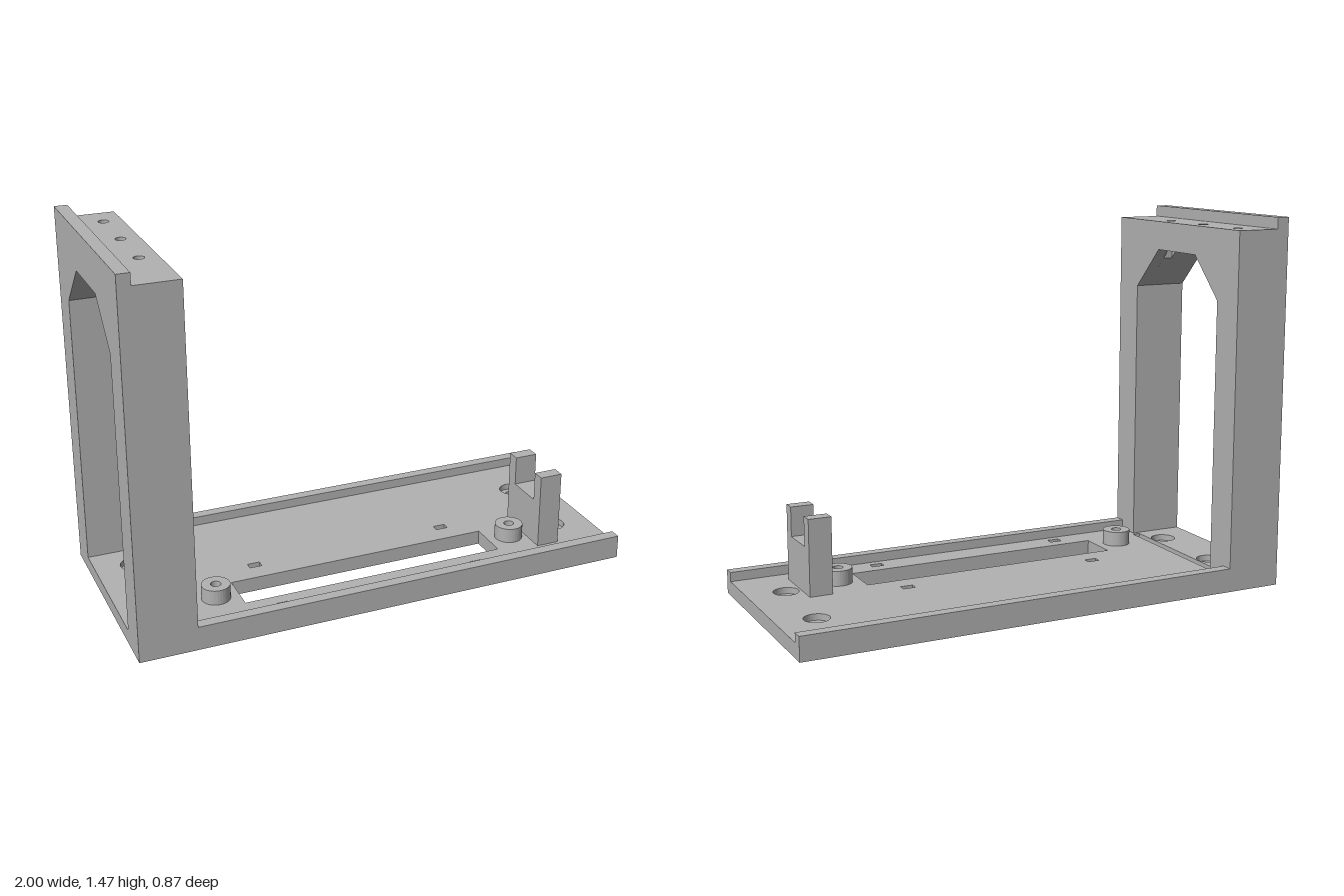
import * as THREE from 'three';

const grey = new THREE.MeshStandardMaterial({ color: 0xb2b2b2 });
grey.name = 'grey plastic';

const polygon = (points, Type = THREE.Shape) => new Type(points.map(([a, b]) => new THREE.Vector2(a, b)));

// Outlines in plan are given as x, z and drawn with z negated
const rect = (x0, x1, z0, z1, Type = THREE.Path) =>
  polygon([[x0, -z1], [x1, -z1], [x1, -z0], [x0, -z0]], Type);

function circle(x, z, r, Type = THREE.Path) {
  const c = new Type();
  c.absarc(x, -z, r, 0, Math.PI * 2);
  return c;
}

export function createModel() {
  const model = new THREE.Group();
  model.name = 'mountingBracket';

  function add(name, geometry) {
    const mesh = new THREE.Mesh(geometry, grey);
    mesh.name = name;
    model.add(mesh);
  }

  // Plan outline with holes, raised from y0 to y1
  function plate(name, shape, holes, y0, y1) {
    shape.holes.push(...holes);
    const g = new THREE.ExtrudeGeometry(shape, { depth: y1 - y0, bevelEnabled: false, curveSegments: 16 });
    add(name, g.rotateX(-Math.PI / 2).translate(0, y0, 0));
  }

  // Side outline (z, y) carried from x0 to x1
  function side(name, points, x0, x1) {
    const shape = polygon(points.map(([z, y]) => [-z, y]));
    const g = new THREE.ExtrudeGeometry(shape, { depth: x1 - x0, bevelEnabled: false });
    add(name, g.rotateY(Math.PI / 2).translate(x0, 0, 0));
  }

  const W = 0.435, FLOOR = 0.058, STEP = 0.033;
  const screws = [[-0.85, -0.175], [-0.85, 0.175], [0.845, -0.175], [0.845, 0.175]];
  const bosses = [[-0.63, 0.2], [0.625, 0.2]];

  // Long window and four small tie slots pass through the whole base
  const openings = () => [
    rect(-0.54, 0.535, 0.115, 0.28),
    ...[-0.41, 0.405].flatMap(x => [0.02, 0.345].map(z => rect(x - 0.025, x + 0.025, z - 0.015, z + 0.015))),
  ];

  // Base: lower layer with screw holes and pockets, upper layer with counterbores and groove
  plate('baseLower', rect(-1, 1, -W, W, THREE.Shape), [
    ...openings(),
    ...screws.map(([x, z]) => circle(x, z, 0.027)),
    ...bosses.map(([x, z]) => circle(x, z, 0.038)),
  ], 0, STEP);
  plate('baseUpper', rect(-1, 1, -W, W, THREE.Shape), [
    ...openings(),
    ...screws.map(([x, z]) => circle(x, z, 0.05)),
    ...bosses.map(([x, z]) => circle(x, z, 0.02)),
    rect(-0.795, -0.765, -0.29, 0.28),
  ], STEP, FLOOR);

  // Ring bosses
  for (const [x, z] of bosses) {
    plate('boss', circle(x, z, 0.056, THREE.Shape), [circle(x, z, 0.02)], FLOOR, 0.118);
  }

  // Rails along both long edges
  for (const s of [-1, 1]) {
    plate('rail', rect(-0.775, 1, s * 0.4125 - 0.0225, s * 0.4125 + 0.0225, THREE.Shape), [], FLOOR, 0.095);
  }

  // Upright frame legs with chamfered corners; one chamfer is notched below its screw hole
  const leg = [[W, FLOOR], [W, 1.305], [0.135, 1.305], [0.297, 1.14], [0.297, FLOOR]];
  const notched = [[W, FLOOR], [W, 1.305], [0.175, 1.305], [0.175, 1.264], [0.297, 1.14], [0.297, FLOOR]];
  side('frameLegBack', leg.map(([z, y]) => [-z, y]), -1, -0.775);
  side('frameLegFront', leg, -1, -0.865);
  side('frameLegFront', notched, -0.865, -0.825);
  side('frameLegFront', leg, -0.825, -0.775);

  // Crossbar with three screw holes, and the lip on its outer edge
  plate('crossbar', rect(-1, -0.775, -W, W, THREE.Shape),
    [-0.32, -0.083, 0.155].map(z => circle(-0.845, z, 0.02)), 1.305, 1.42);
  plate('crossbarLip', rect(-1, -0.95, -W, W, THREE.Shape), [], 1.42, 1.465);

  // Forked cradle
  side('cradle', [
    [0.065, FLOOR], [0.32, FLOOR], [0.32, 0.362], [0.27, 0.362],
    [0.27, 0.244], [0.117, 0.244], [0.117, 0.362], [0.065, 0.362],
  ], 0.695, 0.787);

  return model;
}
